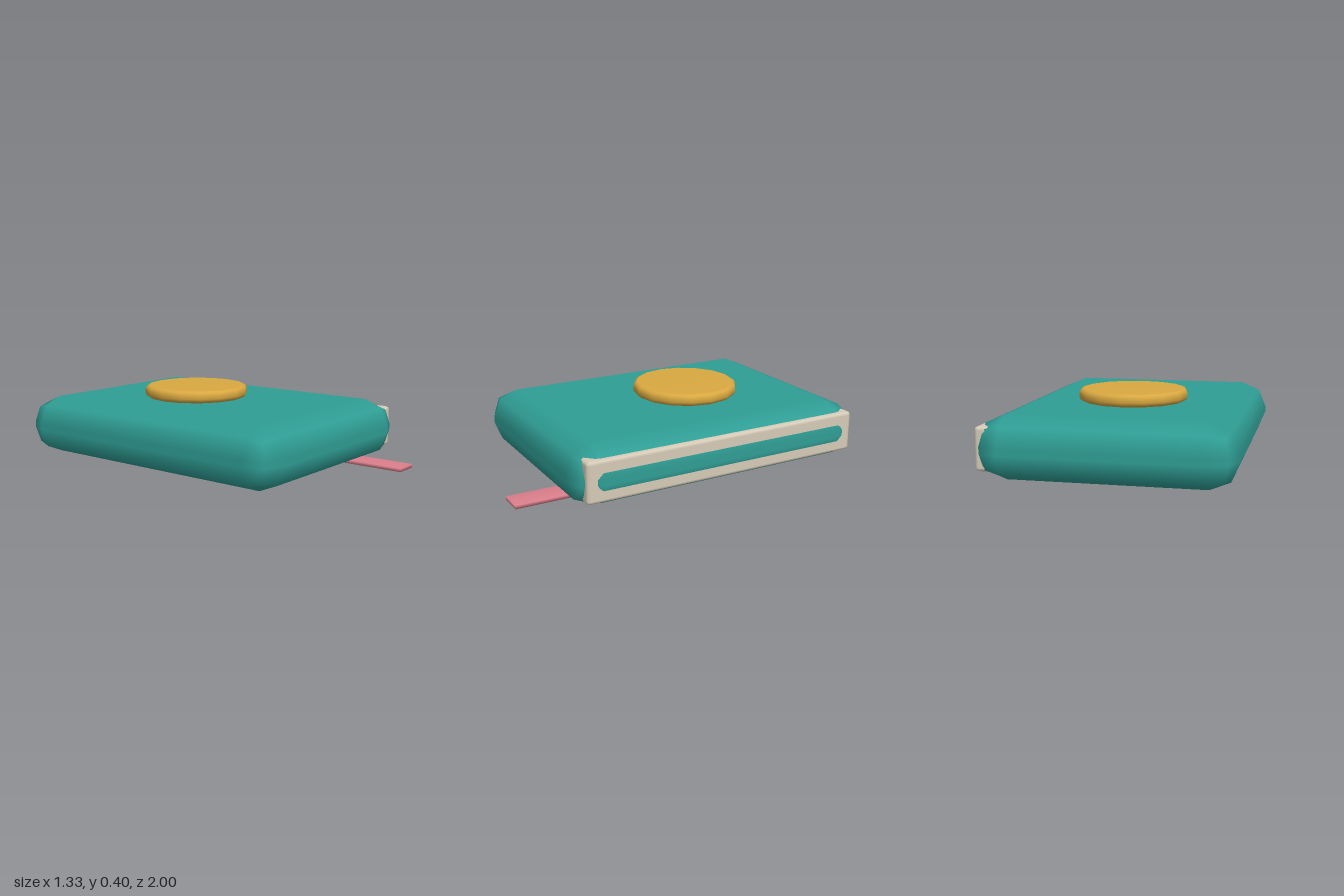
import * as THREE from 'three';
import { RoundedBoxGeometry } from 'three/addons/geometries/RoundedBoxGeometry.js';
import { mergeVertices } from 'three/addons/utils/BufferGeometryUtils.js';

const paint = (name, color) => {
  const material = new THREE.MeshStandardMaterial({ color });
  material.name = name;
  return material;
};

export function createModel() {
  const model = new THREE.Group();
  model.name = 'book';

  const teal = paint('teal cover', 0x2f9e95);
  const cream = paint('cream paper', 0xd6cbb8);
  const gold = paint('gold', 0xd9a840);
  const pink = paint('pink ribbon', 0xdb7f8c);

  const add = (name, geometry, material, x, y, z) => {
    const mesh = new THREE.Mesh(geometry, material);
    mesh.name = name;
    mesh.position.set(x, y, z);
    model.add(mesh);
    return mesh;
  };

  // Padded cover with coarse, softly shaded rounding
  add('cover', new RoundedBoxGeometry(1.334, 0.333, 1.777, 1, 0.15), teal, 0, 0.1667, -0.1115);

  // Page block, with the cover's side bulging through as a stripe
  add('pages', new RoundedBoxGeometry(0.16, 0.23, 1.66, 1, 0.02), cream, 0.574, 0.168, -0.1115);

  // Round medallion: sixteen sides, rounded rim, flat faces
  const rim = [
    [0, 0], [0.276, 0], [0.282, 0], [0.297, 0.009], [0.303, 0.024],
    [0.303, 0.044], [0.297, 0.059], [0.285, 0.067], [0.28, 0.068], [0, 0.068],
  ].map(([r, y]) => new THREE.Vector2(r, y));
  add('medallion', new THREE.LatheGeometry(rim, 16), gold, 0, 0.333, -0.225);

  // Bookmark ribbon, shaded smoothly around its edges
  let ribbon = new THREE.BoxGeometry(0.135, 0.02, 0.45);
  ribbon.deleteAttribute('normal');
  ribbon.deleteAttribute('uv');
  ribbon = mergeVertices(ribbon);
  ribbon.computeVertexNormals();
  add('bookmark', ribbon, pink, 0.333, 0.012, 0.775);

  return model;
}
